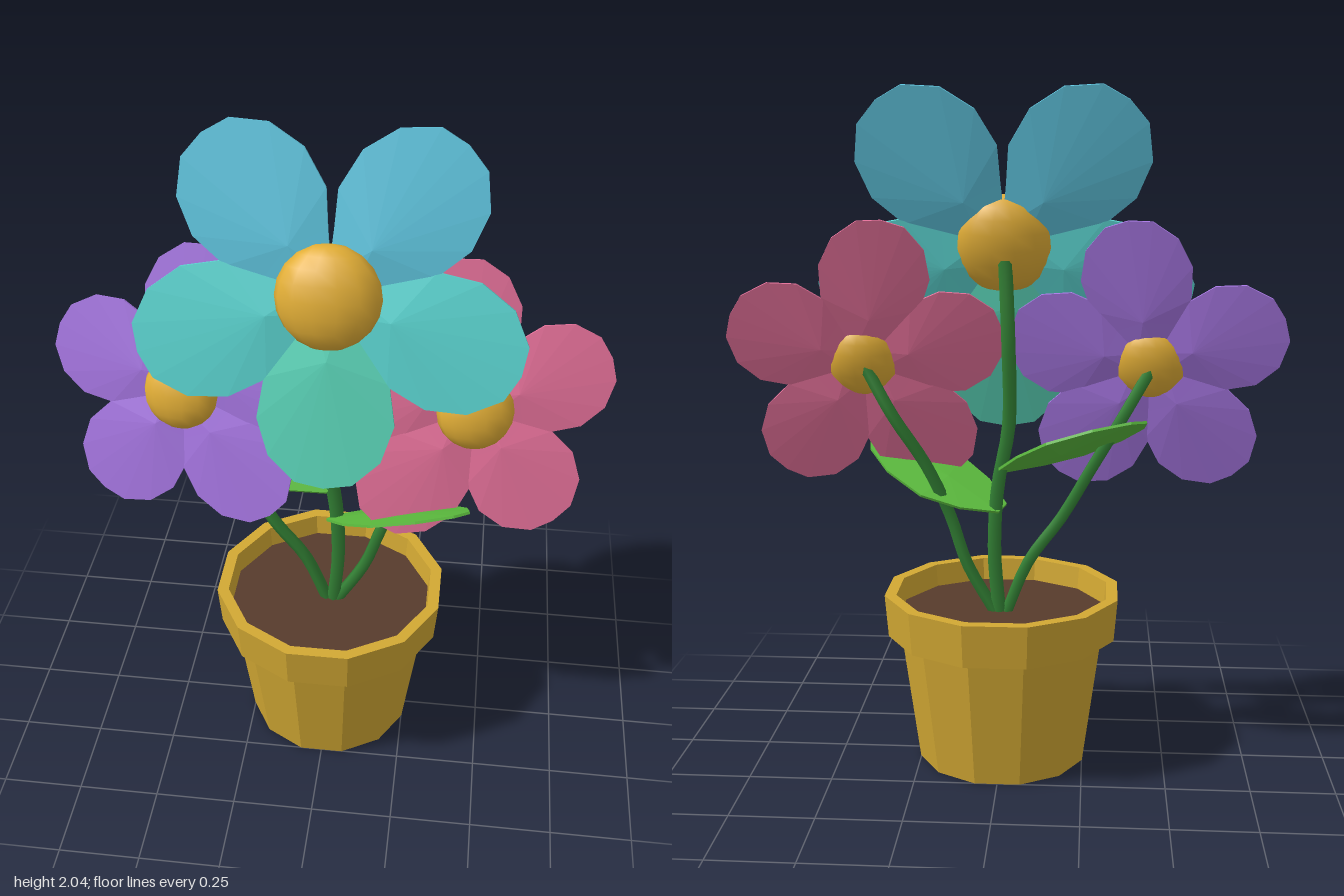
import * as THREE from 'three';

const mat = (name, color) => {
  const m = new THREE.MeshStandardMaterial({ color });
  m.name = name;
  return m;
};

const add = (parent, name, geometry, material) => {
  const m = new THREE.Mesh(geometry, material);
  m.name = name;
  parent.add(m);
  return m;
};

// Faceted version of a geometry
const facet = (g) => {
  const f = g.index ? g.toNonIndexed() : g;
  f.computeVertexNormals();
  return f;
};

// Thin blade along +y: a half outline of [along, halfWidth] is mirrored and
// fanned to a raised point on the front and on the back
function bladeGeometry(half, apexY, bulge, thick) {
  const right = half.map(([y, x]) => [x, y]);
  const left = half.slice(0, -1).reverse().map(([y, x]) => [-x, y]);
  const rim = [...right, ...left];
  const pos = [];
  rim.forEach(([ax, ay], i) => {
    const [bx, by] = rim[(i + 1) % rim.length];
    pos.push(0, apexY, bulge, ax, ay, thick, bx, by, thick);
    pos.push(0, apexY, -bulge, bx, by, -thick, ax, ay, -thick);
    pos.push(ax, ay, thick, ax, ay, -thick, bx, by, -thick);
    pos.push(ax, ay, thick, bx, by, -thick, bx, by, thick);
  });
  const g = new THREE.BufferGeometry();
  g.setAttribute('position', new THREE.Float32BufferAttribute(pos, 3));
  g.computeVertexNormals();
  return g;
}

export function createModel() {
  const model = new THREE.Group();
  model.name = 'pottedFlowers';

  const potMat = mat('pot ochre', 0xd2a833);
  const soilMat = mat('soil brown', 0x573b2c);
  const stemMat = mat('stem green', 0x328034);
  const leafMat = mat('leaf green', 0x5cbc3e);
  const centreMat = mat('flower centre gold', 0xe2ae36);
  const blue = mat('sky blue petal', 0x60c6e0);
  const teal = mat('teal petal', 0x5cd6d2);
  const mint = mat('mint petal', 0x5cd6ba);
  const purple = mat('purple petal', 0xa676e2);
  const pink = mat('pink petal', 0xe47099);

  // Twelve-sided pot with a lip, and the soil inside
  const profile = [[0, 0], [0.26, 0], [0.315, 0.4], [0.355, 0.4], [0.366, 0.53], [0.33, 0.53], [0.322, 0.45]]
    .map(([x, y]) => new THREE.Vector2(x, y));
  add(model, 'pot', facet(new THREE.LatheGeometry(profile, 12, Math.PI / 12)), potMat);
  const soil = add(model, 'soil', new THREE.CircleGeometry(0.325, 12, Math.PI / 12), soilMat);
  soil.rotation.x = -Math.PI / 2;
  soil.position.y = 0.46;

  // Stems curving from the soil to the back of each flower
  const stems = {
    middleStem: [[0.01, 0.45, 0], [0.025, 0.65, 0], [0.015, 0.85, 0], [-0.02, 1.05, -0.01], [-0.02, 1.3, -0.04], [-0.01, 1.54, -0.03]],
    rightStem: [[-0.01, 0.45, 0], [-0.08, 0.62, 0], [-0.18, 0.76, 0], [-0.27, 0.92, -0.02], [-0.36, 1.08, -0.04], [-0.44, 1.22, -0.02]],
    leftStem: [[0.02, 0.45, 0], [0.11, 0.61, 0], [0.16, 0.76, 0], [0.23, 0.92, -0.02], [0.33, 1.08, -0.04], [0.41, 1.22, -0.02]],
  };
  for (const [name, pts] of Object.entries(stems)) {
    const curve = new THREE.CatmullRomCurve3(pts.map((p) => new THREE.Vector3(...p)));
    add(model, name, new THREE.TubeGeometry(curve, 20, name === 'middleStem' ? 0.023 : 0.019, 6), stemMat);
  }

  // Two opposite leaves, the back one higher
  const leafGeo = bladeGeometry(
    [[0, 0.025], [0.1, 0.09], [0.22, 0.125], [0.36, 0.1], [0.46, 0.045], [0.49, 0]], 0.2, 0.014, 0.004);
  const along = new THREE.Vector3(0.42, 0.18, 0.15).normalize();
  const normal = new THREE.Vector3(-0.3, 0.35, 0.88).cross(along).normalize();
  const across = along.clone().cross(normal);
  const leafBasis = new THREE.Matrix4().makeBasis(across, along, normal);
  ['frontLeaf', 'backLeaf'].forEach((name, i) => {
    const holder = new THREE.Group();
    holder.position.set(0, 0.785 + 0.12 * i, 0);
    holder.rotation.y = Math.PI * i;
    add(holder, name, leafGeo, leafMat).quaternion.setFromRotationMatrix(leafBasis);
    model.add(holder);
  });

  // Flowers: petals as [angle, length factor, material] around a domed centre
  const petalGeo = bladeGeometry(
    [[0.04, 0.04], [0.15, 0.115], [0.24, 0.18], [0.36, 0.2], [0.47, 0.165], [0.545, 0.085], [0.56, 0]], 0.18, 0.025, 0.005);

  function flower(name, [x, y, z], yaw, scale, width, centreRadius, petals) {
    const g = new THREE.Group();
    g.name = name;
    g.position.set(x, y, z);
    g.rotation.set(-0.25, yaw, 0, 'YXZ');
    petals.forEach(([deg, len, material]) => {
      const p = add(g, 'petal', petalGeo, material);
      p.rotation.z = THREE.MathUtils.degToRad(deg - 90);
      p.scale.set(scale * width, scale * len, scale);
    });
    const c = add(g, 'flowerCentre', new THREE.SphereGeometry(centreRadius, 14, 10), centreMat);
    c.scale.z = 0.56;
    c.position.z = 0.022;
    model.add(g);
  }

  flower('middleFlower', [-0.005, 1.58, 0.005], 0, 1, 1, 0.152,
    [[50, 1, blue], [130, 1, blue], [-20, 1.04, teal], [200, 1.04, teal], [270, 1.04, mint]]);

  const sidePetals = [[158, 0.97], [235, 1], [308, 1.07], [14, 1], [82, 1.04]];
  flower('rightFlower', [-0.44, 1.23, 0], -0.12, 0.77, 1.06, 0.113,
    sidePetals.map(([a, l]) => [a, l, purple]));
  flower('leftFlower', [0.42, 1.23, 0], 0.12, 0.77, 1.06, 0.113,
    sidePetals.map(([a, l]) => [180 - a, l, pink]));

  return model;
}
